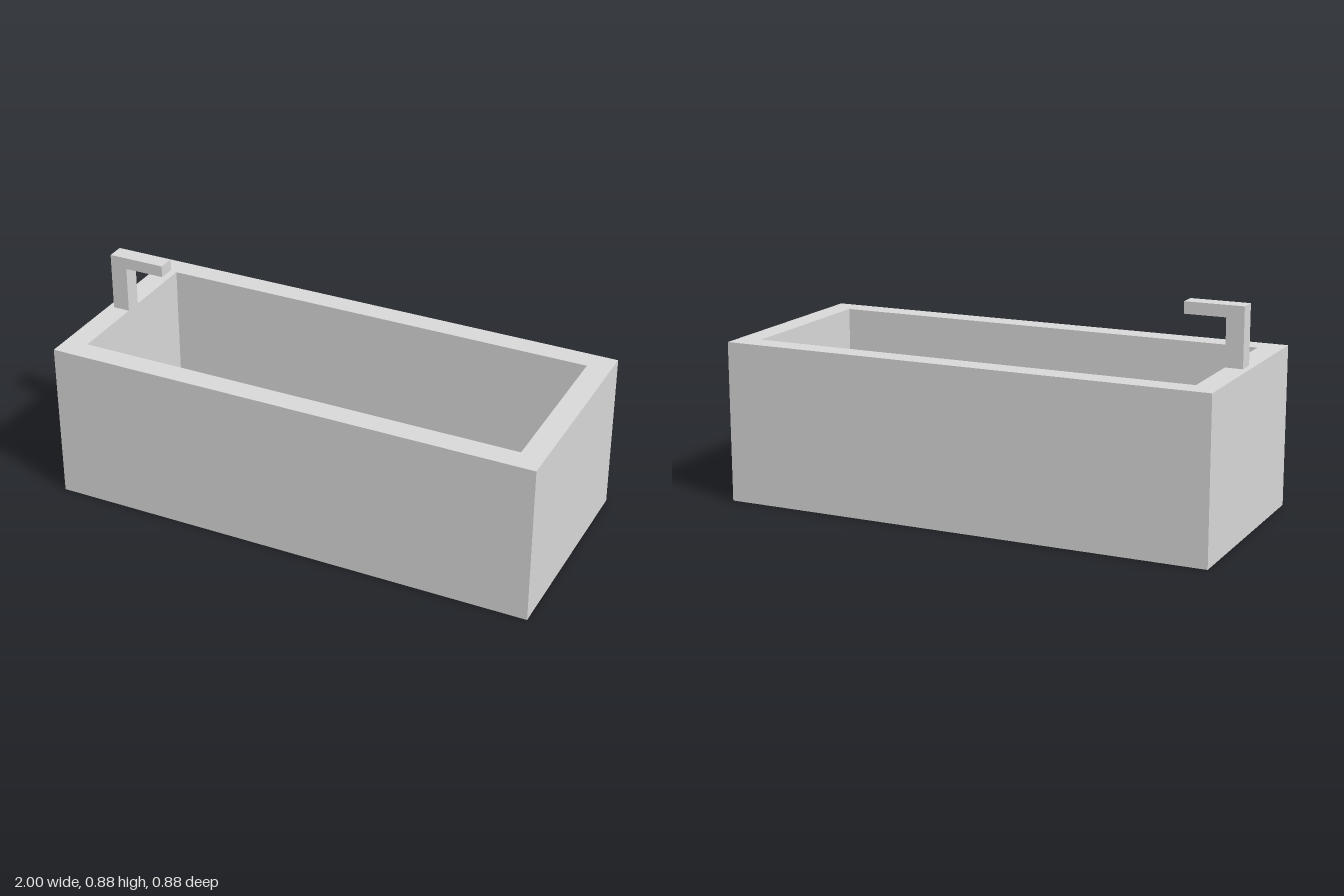
import * as THREE from 'three';

const WIDTH = 2, DEPTH = 0.882, HEIGHT = 0.647;
const INNER_WIDTH = 1.812, INNER_DEPTH = 0.694, FLOOR = 0.176;

// Closed rectangle centred on the origin, as a list of corners
function rectangle(w, d) {
  return [[-w, -d], [w, -d], [w, d], [-w, d]].map(([x, y]) => new THREE.Vector2(x / 2, y / 2));
}

export function createModel() {
  const model = new THREE.Group();
  model.name = 'bathtub';

  const grey = new THREE.MeshStandardMaterial({ color: 0xd9d9d9 });
  grey.name = 'light grey';

  function add(name, geometry) {
    const mesh = new THREE.Mesh(geometry, grey);
    mesh.name = name;
    model.add(mesh);
    return mesh;
  }

  // Tub walls: rectangular ring raised from the ground
  const ring = new THREE.Shape(rectangle(WIDTH, DEPTH));
  ring.holes.push(new THREE.Path(rectangle(INNER_WIDTH, INNER_DEPTH).reverse()));
  const walls = new THREE.ExtrudeGeometry(ring, { depth: HEIGHT, bevelEnabled: false });
  walls.rotateX(-Math.PI / 2);
  add('tubWalls', walls);

  // Tub floor closing the ring
  add('tubFloor', new THREE.BoxGeometry(INNER_WIDTH, FLOOR, INNER_DEPTH)).position.y = FLOOR / 2;

  // Faucet: upright post on the right rim with a spout reaching over the basin
  const profile = new THREE.Shape([
    [-0.976, HEIGHT], [-0.906, HEIGHT], [-0.906, 0.835],
    [-0.741, 0.835], [-0.741, 0.882], [-0.976, 0.882],
  ].map(([x, y]) => new THREE.Vector2(x, y)));
  const faucet = new THREE.ExtrudeGeometry(profile, { depth: 0.07, bevelEnabled: false });
  faucet.translate(0, 0, -0.035);
  add('faucet', faucet);

  return model;
}
